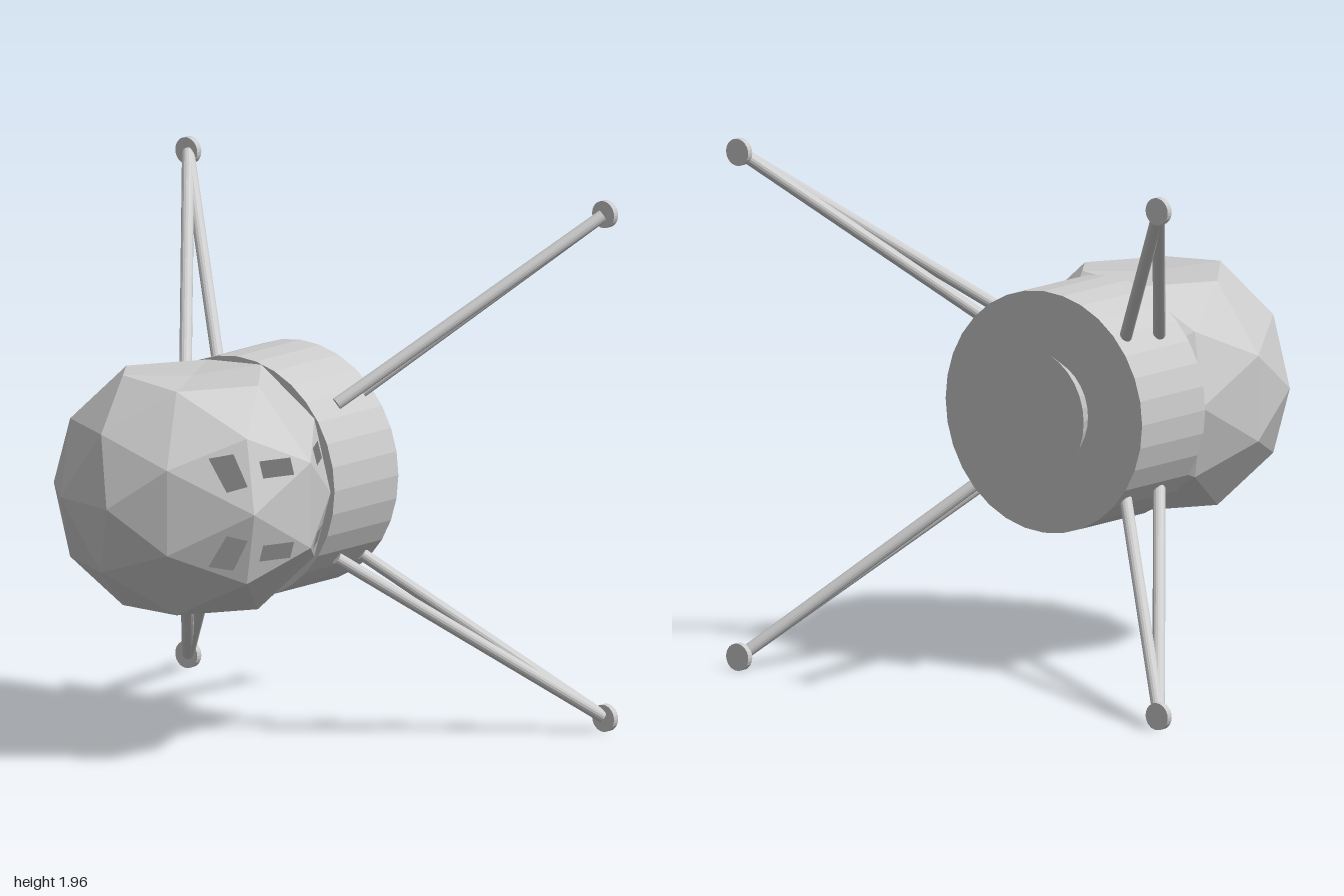
import * as THREE from 'three';

const CY = 0.98; // height of the craft's long axis
const HEAD_Z = 0.36;

const material = new THREE.MeshStandardMaterial({ color: 0xcccccc, flatShading: true, side: THREE.DoubleSide });

function addMesh(parent, name, geometry) {
  const mesh = new THREE.Mesh(geometry, material);
  mesh.name = name;
  parent.add(mesh);
  return mesh;
}

// Window outlines as [z, y above the axis]; mirrored below the axis
const WINDOWS = [
  [[0.69, 0.2], [0.63, 0.215], [0.622, 0.1], [0.674, 0.08]],
  [[0.56, 0.185], [0.435, 0.185], [0.435, 0.124], [0.56, 0.124]],
  [[0.254, 0.185], [0.13, 0.185], [0.13, 0.124], [0.254, 0.124]],
];

// A facet seen from +x, cut by a window, then tilted back into its own plane
function windowFacet(tri, hole) {
  const shape = new THREE.Shape(tri.map(p => new THREE.Vector2(-p.z, p.y)));
  shape.holes.push(new THREE.Path(hole.map(([z, y]) => new THREE.Vector2(-z, y))));
  const geo = new THREE.ShapeGeometry(shape);
  const plane = new THREE.Plane().setFromCoplanarPoints(...tri);
  const pos = geo.attributes.position;
  for (let i = 0; i < pos.count; i++) {
    const z = -pos.getX(i), y = pos.getY(i);
    const x = -(plane.constant + plane.normal.y * y + plane.normal.z * z) / plane.normal.x;
    pos.setXYZ(i, x, y, z);
  }
  geo.computeVertexNormals();
  return geo;
}

// Faceted cabin: geodesic ball, flattened above and below, bulging on the window side
function buildCabin() {
  const cabin = new THREE.Group();
  cabin.name = 'cabin';
  cabin.position.y = CY;
  const ball = new THREE.IcosahedronGeometry(0.51, 1);
  ball.rotateX(Math.atan(2 / (1 + Math.sqrt(5))));
  ball.rotateZ(-Math.PI / 2);
  const pos = ball.attributes.position;
  const v = new THREE.Vector3();
  for (let i = 0; i < pos.count; i++) {
    v.fromBufferAttribute(pos, i);
    if (v.x > 0.36 && v.z > -0.05) v.x += 0.055;
    if (Math.abs(v.y) > 0.5) v.y = Math.sign(v.y) * 0.413;
    if (v.y < -0.42 && v.z > 0.1) v.y = -0.415;
    pos.setXYZ(i, v.x, v.y, v.z + HEAD_Z);
  }

  const holes = WINDOWS.flatMap(w => [w, w.map(([z, y]) => [z, -y]).reverse()]);
  const solid = [];
  for (let i = 0; i < pos.count; i += 3) {
    const tri = [0, 1, 2].map(k => new THREE.Vector3().fromBufferAttribute(pos, i + k));
    if (Math.max(...tri.map(p => p.z)) < 0.1) continue; // hidden inside the body
    const flat = new THREE.Triangle(...tri.map(p => new THREE.Vector3(0, p.y, p.z)));
    const outward = new THREE.Triangle(...tri).getNormal(new THREE.Vector3());
    const hole = outward.x > 0.2 && holes.find(h => {
      const c = h.reduce((s, [z, y]) => s.add(new THREE.Vector3(0, y / 4, z / 4)), new THREE.Vector3());
      return flat.containsPoint(c);
    });
    if (hole) addMesh(cabin, 'windowFacet', windowFacet(tri, hole));
    else tri.forEach(p => solid.push(p));
  }
  const shell = new THREE.BufferGeometry().setFromPoints(solid);
  shell.computeVertexNormals();
  addMesh(cabin, 'cabinShell', shell);
  return cabin;
}

// Round bar between two points
function strut(parent, a, b, radius) {
  const dir = b.clone().sub(a);
  const mesh = addMesh(parent, 'strut', new THREE.CylinderGeometry(radius, radius, dir.length(), 16));
  mesh.position.copy(a).add(b).multiplyScalar(0.5);
  mesh.quaternion.setFromUnitVectors(new THREE.Vector3(0, 1, 0), dir.normalize());
}

// Landing leg: two struts meeting at a round foot pad
function buildLeg(sx, sy) {
  const leg = new THREE.Group();
  leg.name = 'landingLeg';
  const at = (x, y, z) => new THREE.Vector3(sx * x, CY + sy * y, z);
  const foot = at(0.945, 0.925, -0.85);
  strut(leg, at(0.345, 0.285, -0.05), foot, 0.023);
  strut(leg, at(0.325, 0.3, -0.225), foot, 0.023);
  const pad = addMesh(leg, 'footPad', new THREE.CylinderGeometry(0.05, 0.05, 0.025, 24));
  pad.rotation.x = Math.PI / 2;
  pad.position.copy(at(0.95, 0.93, -0.857));
  return leg;
}

export function createModel() {
  const model = new THREE.Group();
  model.name = 'landerCraft';
  model.add(buildCabin());

  // Drum-shaped service body
  const body = addMesh(model, 'body', new THREE.CylinderGeometry(0.445, 0.445, 0.38, 32).rotateX(Math.PI / 2));
  body.position.set(-0.003, 0.975, -0.1);

  // Engine bell, flaring backwards
  const bell = addMesh(model, 'engineBell', new THREE.CylinderGeometry(0.2, 0.252, 0.095, 32).rotateX(Math.PI / 2));
  bell.position.set(-0.003, 0.978, -0.3375);

  for (const sx of [-1, 1]) for (const sy of [-1, 1]) model.add(buildLeg(sx, sy));
  return model;
}
